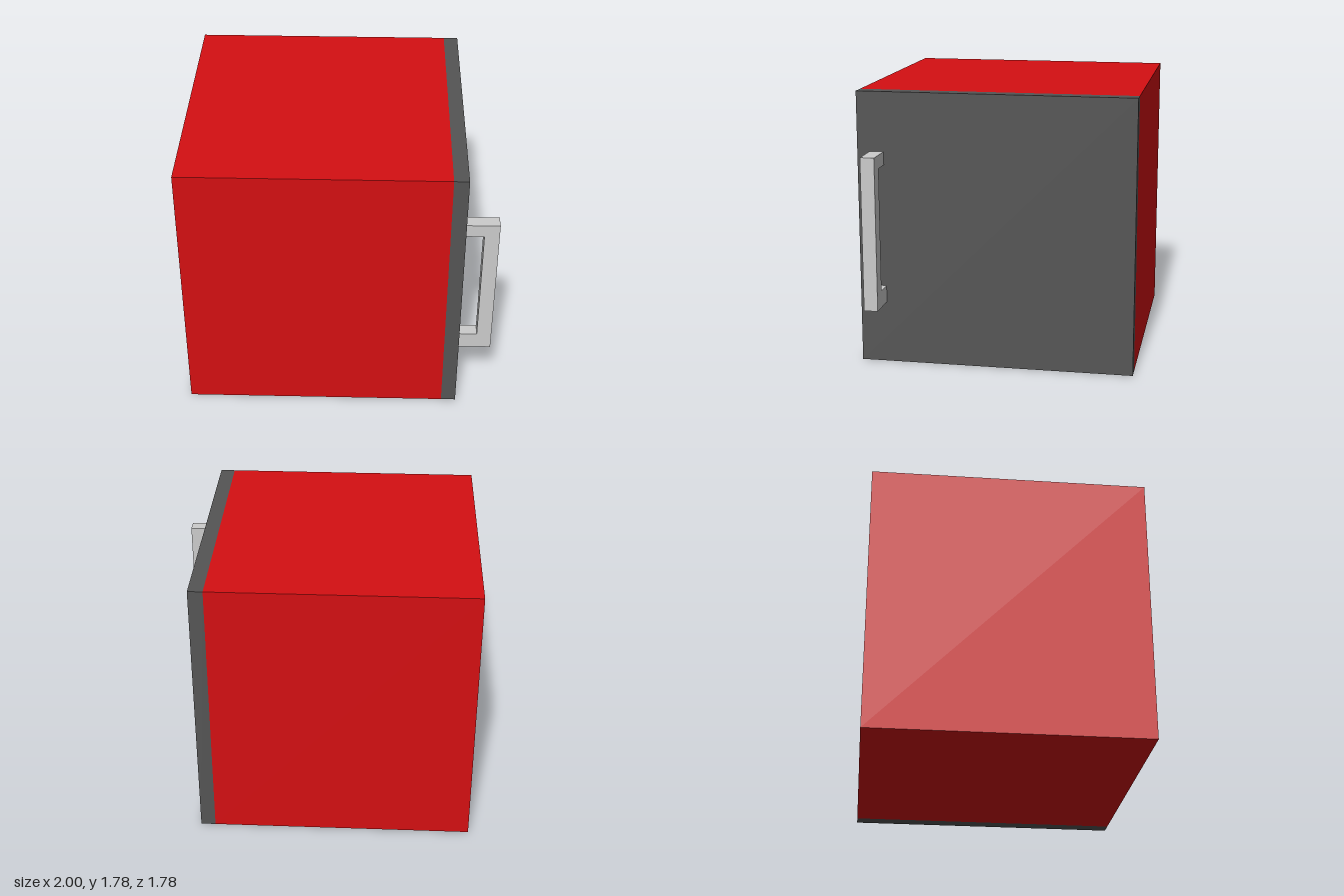
import * as THREE from 'three';

const DEPTH = 1.785, HEIGHT = 1.785;

const red = new THREE.MeshStandardMaterial({ color: 0xd40f12 });
const dark = new THREE.MeshStandardMaterial({ color: 0x555555 });
const grey = new THREE.MeshStandardMaterial({ color: 0xcccccc });

// Box spanning x0..x1 over the full height and depth
function slab(name, x0, x1, material) {
  const mesh = new THREE.Mesh(new THREE.BoxGeometry(x1 - x0, HEIGHT, DEPTH), material);
  mesh.name = name;
  mesh.position.set((x0 + x1) / 2, HEIGHT / 2, 0);
  return mesh;
}

// Square-section pull handle, bracket outline extruded along z
function createHandle() {
  const outline = [
    [0.785, 0.405], [1, 0.405], [1, 1.4], [0.785, 1.4],
    [0.785, 1.315], [0.905, 1.315], [0.905, 0.515], [0.785, 0.515],
  ];
  const shape = new THREE.Shape(outline.map(([x, y]) => new THREE.Vector2(x, y)));
  const geometry = new THREE.ExtrudeGeometry(shape, { depth: 0.09, bevelEnabled: false });
  const mesh = new THREE.Mesh(geometry, grey);
  mesh.name = 'doorHandle';
  mesh.position.z = 0.72;
  return mesh;
}

export function createModel() {
  const model = new THREE.Group();
  model.name = 'cabinet';
  model.add(
    slab('cabinetBody', -1, 0.69, red),
    slab('door', 0.69, 0.785, dark),
    createHandle(),
  );
  return model;
}
